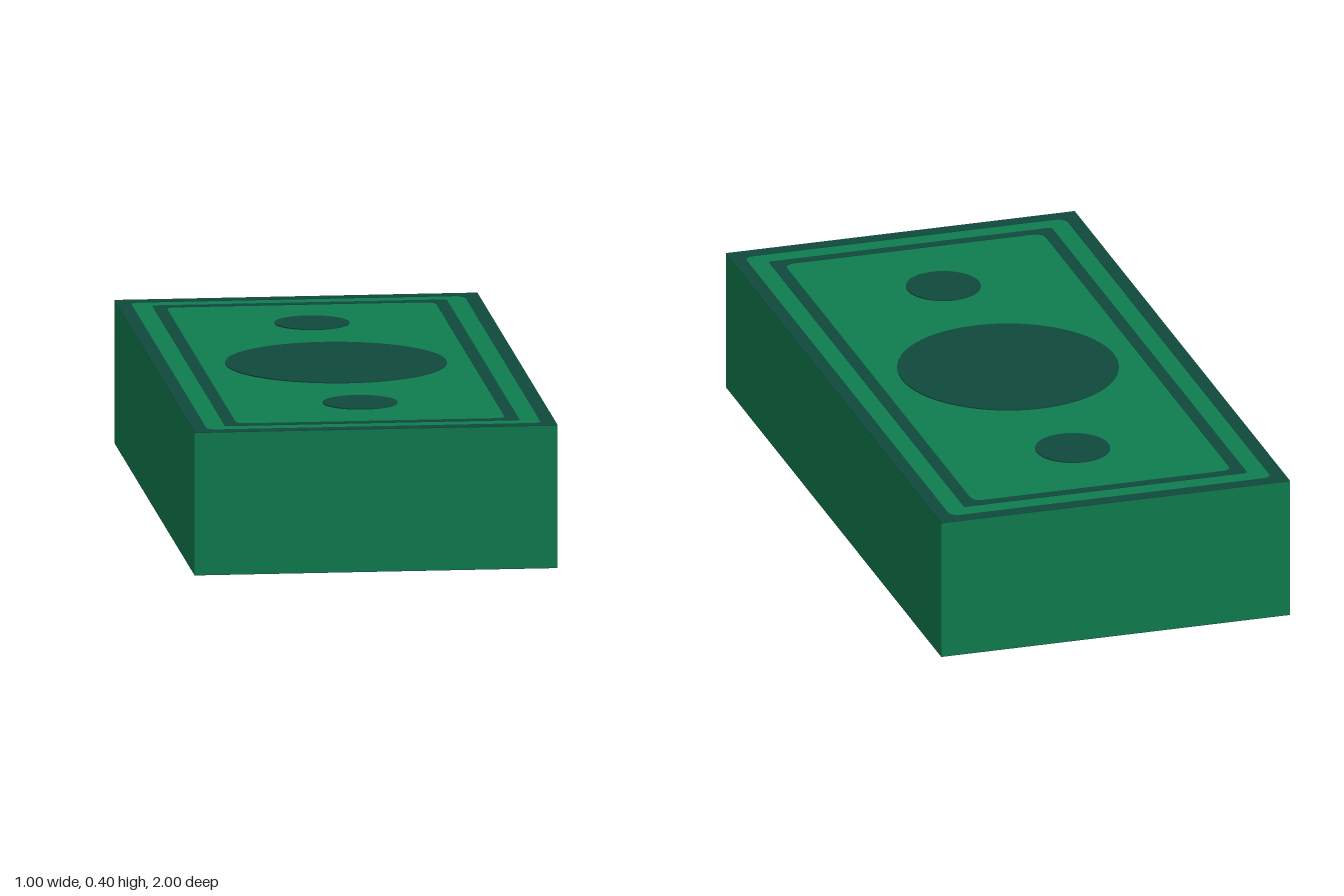
import * as THREE from 'three';

const W = 1.005, H = 0.4, D = 2, T = 0.0015; // overall size and print thickness

function roundedRect(target, w, d, r) {
  const x = w / 2, y = d / 2;
  target.moveTo(-x + r, -y);
  target.lineTo(x - r, -y);
  target.quadraticCurveTo(x, -y, x, -y + r);
  target.lineTo(x, y - r);
  target.quadraticCurveTo(x, y, x - r, y);
  target.lineTo(-x + r, y);
  target.quadraticCurveTo(-x, y, -x, y - r);
  target.lineTo(-x, -y + r);
  target.quadraticCurveTo(-x, -y, -x + r, -y);
  return target;
}

// Thin rectangular frame lying flat, its base at y = 0
function frameGeometry(w, d, outerR, innerW, innerD, innerR) {
  const shape = roundedRect(new THREE.Shape(), w, d, outerR);
  shape.holes.push(roundedRect(new THREE.Path(), innerW, innerD, innerR));
  return new THREE.ExtrudeGeometry(shape, { depth: T, bevelEnabled: false, curveSegments: 6 })
    .rotateX(-Math.PI / 2);
}

export function createModel() {
  const paper = new THREE.MeshStandardMaterial({ color: 0x0f7d4f });
  paper.name = 'paper green';
  const ink = new THREE.MeshStandardMaterial({ color: 0x0f4a3c });
  ink.name = 'dark ink green';

  const model = new THREE.Group();
  model.name = 'banknoteBundle';
  const add = (parent, name, geometry, material, y = 0, z = 0) => {
    const mesh = new THREE.Mesh(geometry, material);
    mesh.name = name;
    mesh.position.set(0, y, z);
    parent.add(mesh);
  };

  // Stack of notes
  add(model, 'noteStack', new THREE.BoxGeometry(W, H - 2 * T, D), paper, H / 2);

  // Printed borders on the top and bottom faces
  const border = frameGeometry(W, D, 0.001, 0.925, 1.92, 0.03);
  const innerFrame = frameGeometry(0.815, 1.815, 0.008, 0.745, 1.755, 0.03);
  for (const side of ['top', 'bottom']) {
    const face = new THREE.Group();
    face.name = side + 'Print';
    face.position.y = side === 'top' ? H - T : T;
    if (side === 'bottom') face.rotation.z = Math.PI;
    add(face, side + 'Border', border, ink);
    add(face, side + 'InnerFrame', innerFrame, ink);
    model.add(face);
  }

  // Round seals on the top face
  const seals = [['centreSeal', 0.305, 0], ['frontSeal', 0.103, 0.6], ['backSeal', 0.103, -0.6]];
  for (const [name, r, z] of seals) {
    add(model, name, new THREE.CylinderGeometry(r, r, 2 * T, 64), ink, H, z);
  }
  return model;
}
